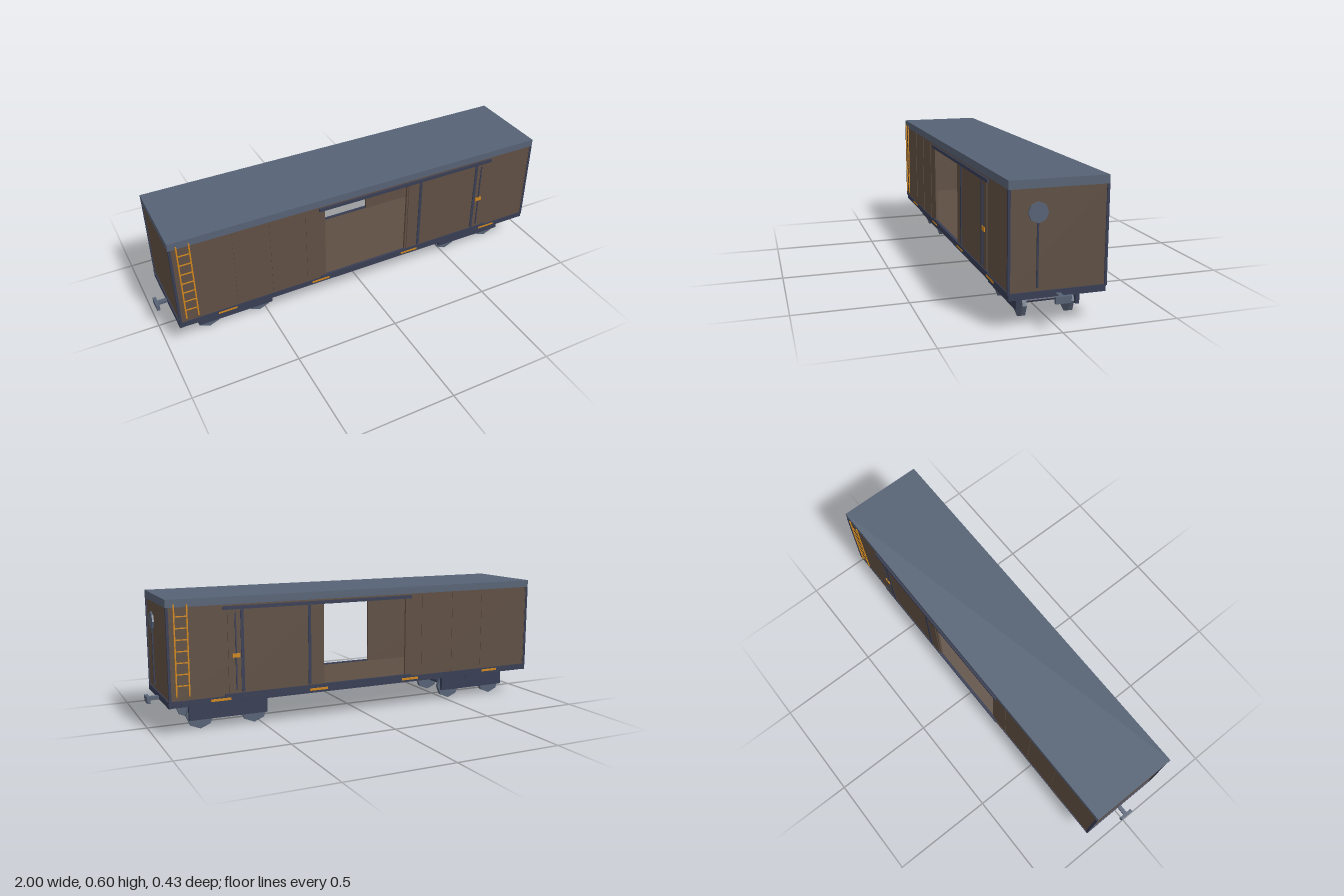
import * as THREE from 'three';

const mat = (name, color) => {
  const m = new THREE.MeshStandardMaterial({ color });
  m.name = name;
  return m;
};

export function createModel() {
  const brown = mat('brown panel', 0x5f4f43);
  const grey = mat('slate grey', 0x566275);
  const navy = mat('dark frame', 0x383d54);
  const orange = mat('orange', 0xcf861c);

  const model = new THREE.Group();
  model.name = 'boxcar';

  const group = (name) => {
    const g = new THREE.Group();
    g.name = name;
    model.add(g);
    return g;
  };
  // Box given by its low and high limits on each axis
  const box = (parent, name, m, [x0, x1], [y0, y1], [z0, z1]) => {
    const mesh = new THREE.Mesh(new THREE.BoxGeometry(x1 - x0, y1 - y0, z1 - z0), m);
    mesh.position.set((x0 + x1) / 2, (y0 + y1) / 2, (z0 + z1) / 2);
    mesh.name = name;
    parent.add(mesh);
  };
  // Low-poly cylinder lying along x or z
  const disc = (parent, name, m, r, len, axis, x, y, z) => {
    const geo = new THREE.CylinderGeometry(r, r, len, 8).toNonIndexed();
    if (axis === 'z') geo.rotateX(Math.PI / 2);
    else geo.rotateZ(Math.PI / 2);
    geo.computeVertexNormals();
    const mesh = new THREE.Mesh(geo, m);
    mesh.position.set(x, y, z);
    mesh.name = name;
    parent.add(mesh);
  };
  // Limits mirrored to the side given by s
  const side = (s, a, b) => (s > 0 ? [a, b] : [-b, -a]);

  // Roof, floor and end walls
  const body = group('body');
  box(body, 'roof', grey, [-0.943, 0.943], [0.567, 0.602], [-0.207, 0.207]);
  box(body, 'floor', brown, [-0.935, 0.935], [0.152, 0.165], [-0.204, 0.204]);
  for (const s of [-1, 1]) {
    box(body, 'endWall', brown, side(s, 0.926, 0.937), [0.157, 0.567], [-0.206, 0.206]);
  }

  // Underframe: sills, end beams and centre beam
  const frame = group('underframe');
  box(frame, 'centerBeam', navy, [-0.93, 0.93], [0.131, 0.152], [-0.055, 0.055]);
  for (const s of [-1, 1]) {
    box(frame, 'sideSill', navy, [-0.943, 0.943], [0.131, 0.158], side(s, 0.188, 0.204));
    box(frame, 'endBeam', navy, side(s, 0.927, 0.943), [0.13, 0.158], [-0.204, 0.204]);
    box(frame, 'lowerTrim', navy, [-0.943, 0.943], [0.154, 0.161], side(s, 0.2, 0.2085));
  }

  // The two long sides, each with an open doorway and a door slid aside
  for (const s of [-1, 1]) {
    const wall = group(s > 0 ? 'frontSide' : 'backSide');
    const zWall = side(s, 0.195, 0.205);
    box(wall, 'wallPanel', brown, [-0.927, -0.216], [0.158, 0.567], zWall);
    box(wall, 'wallPanel', brown, [0.216, 0.927], [0.158, 0.567], zWall);
    box(wall, 'lintel', brown, [-0.216, 0.216], [0.545, 0.567], zWall);
    for (const x of [-0.66, -0.485, -0.31]) {
      box(wall, 'panelSeam', brown, [x - 0.003, x + 0.003], [0.161, 0.567], side(s, 0.2, 0.207));
    }
    for (const e of [-1, 1]) {
      box(wall, 'cornerPost', navy, side(e, 0.931, 0.942), [0.158, 0.567], side(s, 0.198, 0.2085));
    }

    // Sliding door with braces and latch
    box(wall, 'door', brown, [0.225, 0.675], [0.165, 0.55], side(s, 0.204, 0.209));
    for (const x of [0.29, 0.61]) {
      box(wall, 'doorBrace', navy, [x - 0.007, x + 0.007], [0.175, 0.543], side(s, 0.207, 0.212));
    }
    box(wall, 'latchRod', navy, [0.637, 0.643], [0.185, 0.53], side(s, 0.207, 0.212));
    box(wall, 'latchHandle', orange, [0.622, 0.656], [0.332, 0.35], side(s, 0.208, 0.214));
    box(wall, 'upperRail', navy, [-0.245, 0.695], [0.545, 0.56], side(s, 0.203, 0.2135));
    box(wall, 'lowerRail', navy, [-0.245, 0.695], [0.159, 0.171], side(s, 0.2, 0.213));

    // Reflector strips on the sill
    for (const x of [-0.715, -0.245, 0.243, 0.712]) {
      box(wall, 'reflector', orange, [x - 0.045, x + 0.045], [0.142, 0.153], side(s, 0.203, 0.2075));
    }

    // Ladder, diagonally opposite on the two sides
    const lx = -0.88 * s;
    for (const d of [-0.028, 0.028]) {
      box(wall, 'ladderRail', orange, [lx + d - 0.003, lx + d + 0.003], [0.18, 0.58], side(s, 0.208, 0.213));
    }
    for (let i = 0; i < 7; i++) {
      const y = 0.228 + i * 0.05;
      box(wall, 'ladderRung', orange, [lx - 0.028, lx + 0.028], [y - 0.0025, y + 0.0025], side(s, 0.209, 0.212));
    }
  }

  // Brake wheel and rod on one end
  const brake = group('handBrake');
  disc(brake, 'brakeWheel', grey, 0.042, 0.008, 'x', 0.942, 0.473, 0.087);
  box(brake, 'brakeRod', navy, [0.936, 0.943], [0.172, 0.473], [0.0835, 0.0905]);

  // Couplers and bogies
  for (const e of [-1, 1]) {
    const coupler = group('coupler');
    box(coupler, 'couplerShank', grey, side(e, 0.94, 0.987), [0.13, 0.145], [-0.009, 0.009]);
    box(coupler, 'couplerHead', grey, side(e, 0.985, 1.0), [0.119, 0.148], [-0.033, 0.033]);

    const bogie = group('bogie');
    const cx = 0.657 * e;
    box(bogie, 'bolster', navy, [cx - 0.04, cx + 0.04], [0.095, 0.131], [-0.142, 0.142]);
    for (const s of [-1, 1]) {
      box(bogie, 'sideFrame', navy, [cx - 0.183, cx + 0.183], [0.048, 0.118], side(s, 0.121, 0.138));
    }
    for (const d of [-0.127, 0.127]) {
      disc(bogie, 'axle', navy, 0.011, 0.25, 'z', cx + d, 0.066, 0);
      for (const s of [-1, 1]) {
        disc(bogie, 'wheel', grey, 0.065, 0.018, 'z', cx + d, 0.065, 0.103 * s);
      }
    }
  }
  return model;
}
